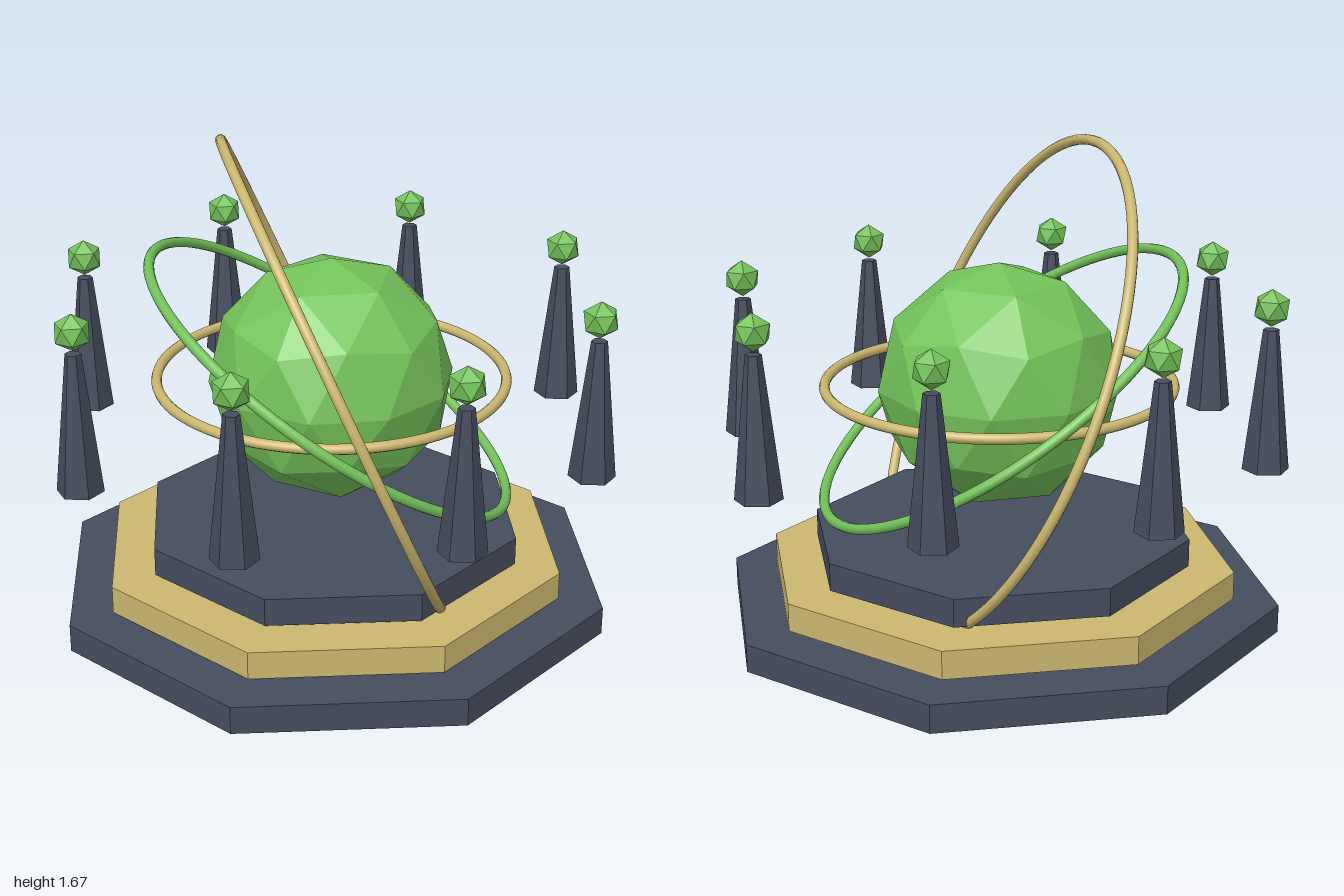
import * as THREE from 'three';

const NAVY = 0x454c5e, GOLD = 0xcbb76f, GREEN = 0x74c25a;
const CORE_Y = 0.837;

function material(color, flatShading) {
  const m = new THREE.MeshStandardMaterial({ flatShading });
  m.color.set(color);
  return m;
}

export function createModel() {
  const model = new THREE.Group();
  const navy = material(NAVY, true), gold = material(GOLD, true), green = material(GREEN, true);
  const goldSmooth = material(GOLD, false), greenSmooth = material(GREEN, false);

  function add(name, geometry, mat, x = 0, y = 0, z = 0, parent = model) {
    const mesh = new THREE.Mesh(geometry, mat);
    mesh.name = name;
    mesh.position.set(x, y, z);
    parent.add(mesh);
    return mesh;
  }

  // Faceted ball turned so that one vertex points straight up
  const ball = (radius, detail) =>
    new THREE.IcosahedronGeometry(radius, detail).rotateZ(-Math.atan(2 / (1 + Math.sqrt(5))));

  // Stepped octagonal base, with a hairline gap between tiers
  [['lowerTier', 0.987, navy], ['middleTier', 0.83, gold], ['upperTier', 0.672, navy]]
    .forEach(([name, radius, mat], i) => {
      add(name, new THREE.CylinderGeometry(radius, radius, 0.098, 8), mat, 0, 0.049 + i * 0.1085, 0);
    });

  // Central floating core
  add('core', ball(0.424, 1), green, 0, CORE_Y, 0);

  // Orbiting rings, each facing along its own axis
  const front = new THREE.Vector3(0, 0, 1);
  [
    ['levelRing', 0.6, goldSmooth, [0, 1, 0]],
    ['middleRing', 0.74, greenSmooth, [0.52, 0.825, 0.22]],
    ['outerRing', 0.886, goldSmooth, [0.879, 0.397, 0.262]],
  ].forEach(([name, radius, mat, axis]) => {
    const ring = add(name, new THREE.TorusGeometry(radius, 0.018, 10, 80), mat, 0, CORE_Y, 0);
    ring.quaternion.setFromUnitVectors(front, new THREE.Vector3(...axis).normalize());
  });

  // Eight floating pylons, each with a small gem above its tip
  const spire = new THREE.CylinderGeometry(0.027, 0.08, 0.488, 6);
  const gem = ball(0.064, 0);
  for (let i = 0; i < 8; i++) {
    const a = (i * Math.PI) / 4;
    const pylon = new THREE.Group();
    pylon.name = 'pylon';
    pylon.position.set(Math.sin(a) * 0.92, 0, Math.cos(a) * 0.92);
    add('spire', spire, navy, 0, 0.839, 0, pylon);
    add('gem', gem, green, 0, 1.156, 0, pylon);
    model.add(pylon);
  }

  return model;
}
